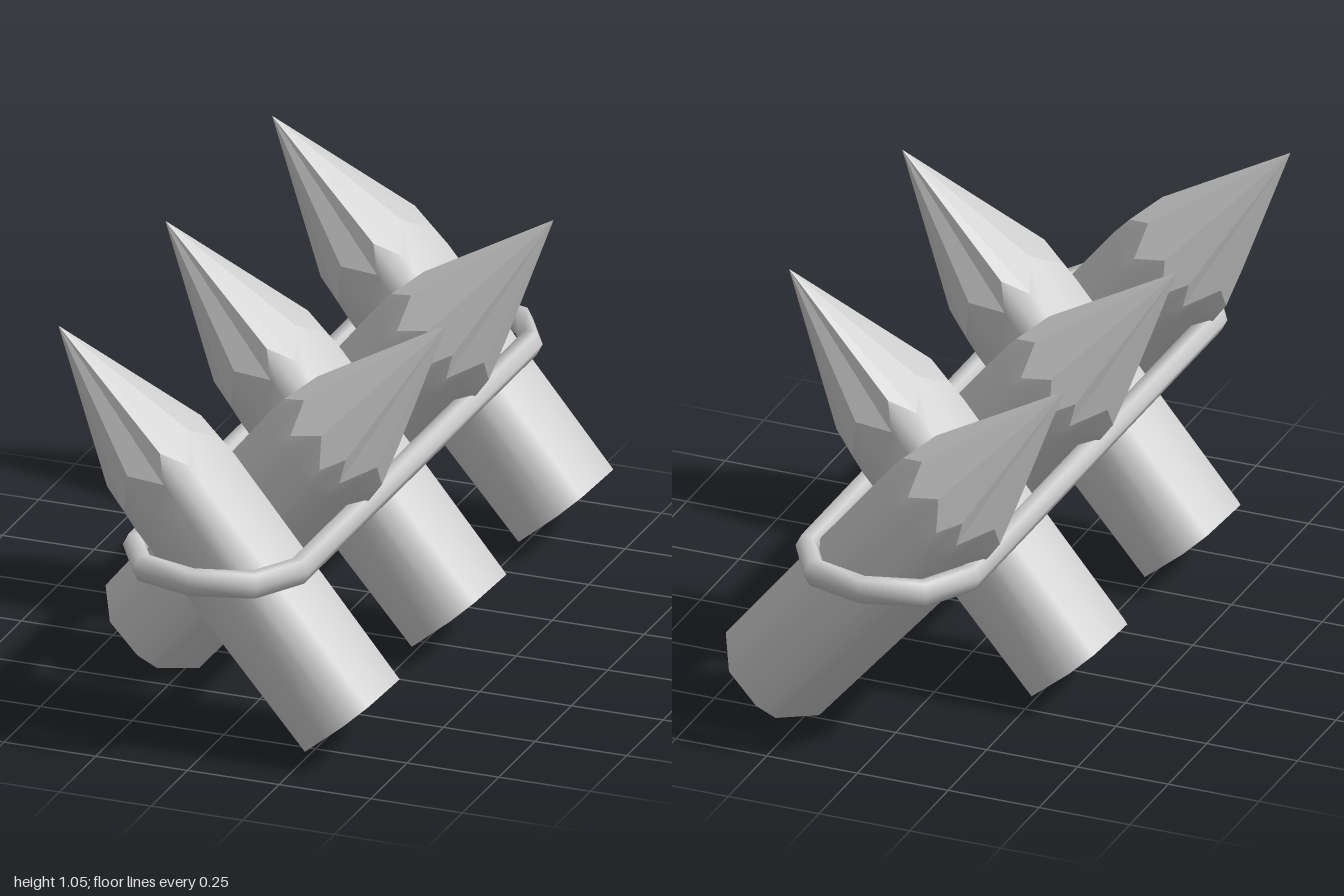
import * as THREE from 'three';

// Skin a list of equal-length point rings; optionally join last ring to first
function loft(rings, closed = false) {
  const n = rings[0].length, m = rings.length, index = [];
  for (let i = 0; i < (closed ? m : m - 1); i++) {
    for (let j = 0; j < n; j++) {
      const a = i * n + j, b = i * n + (j + 1) % n;
      const c = ((i + 1) % m) * n + j, d = ((i + 1) % m) * n + (j + 1) % n;
      index.push(a, c, b, b, c, d);
    }
  }
  const g = new THREE.BufferGeometry();
  g.setAttribute('position', new THREE.Float32BufferAttribute(rings.flat(2), 3));
  g.setIndex(index);
  g.computeVertexNormals();
  return g;
}

function flat(g) {
  const f = g.toNonIndexed();
  f.computeVertexNormals();
  return f;
}

// Slightly uneven eight-sided log section; each corner is followed by an edge midpoint
const cornerAngles = [-12, 41, 69, 123, 180, 238, 260, 301].map(THREE.MathUtils.degToRad);

function logRing(rx, rz, yCorner, yMid = yCorner) {
  const ring = [];
  cornerAngles.forEach((a, i) => {
    const b = cornerAngles[(i + 1) % 8];
    const x = Math.cos(a) * rx, z = Math.sin(a) * rz;
    ring.push([x, yCorner, z]);
    ring.push([(x + Math.cos(b) * rx) / 2, yMid, (z + Math.sin(b) * rz) / 2]);
  });
  return ring;
}

export function createModel() {
  const model = new THREE.Group();
  const smooth = new THREE.MeshStandardMaterial({ color: 0xcccccc });
  const faceted = new THREE.MeshStandardMaterial({ color: 0xcccccc, flatShading: true });

  // Log body, carved tip with a scalloped lower edge, and base cap
  const base = logRing(0.16, 0.174, 0);
  const shoulder = logRing(0.17, 0.174, 0.71);
  const carved = logRing(0.166, 0.169, 0.765, 0.835);
  const bodyGeo = loft([base, shoulder, carved]);
  const tipGeo = flat(loft([carved, logRing(0.0008, 0.0008, 1.235)]));
  const capGeo = flat(loft([logRing(0.0005, 0.0005, 0), base]));

  // Five stakes leaning alternately left and right
  for (let i = 0; i < 5; i++) {
    const stake = new THREE.Group();
    stake.name = 'stake' + (i + 1);
    const lean = new THREE.Group();
    lean.name = 'leaningLog';
    for (const [name, geo, mat] of [
      ['stakeBody', bodyGeo, smooth], ['stakeTip', tipGeo, faceted], ['stakeBase', capGeo, faceted],
    ]) {
      const mesh = new THREE.Mesh(geo, mat);
      mesh.name = name;
      lean.add(mesh);
    }
    lean.position.set(0.34, 0.105, 0);
    lean.rotation.z = 0.7;
    stake.add(lean);
    stake.position.z = 0.735 - i * 0.3675;
    if (i % 2) stake.rotation.y = Math.PI;
    model.add(stake);
  }

  // Six-sided rope looped around all the crossings
  const half = [[0.223, 0.8], [0.15, 0.925], [0, 0.968], [-0.15, 0.925], [-0.223, 0.8]];
  const path = [...half, ...half.map(([x, z]) => [-x, -z])];
  const ropeRings = path.map(([x, z], i) => {
    const p = path[(i + path.length - 1) % path.length], q = path[(i + 1) % path.length];
    const out = new THREE.Vector2(q[1] - p[1], p[0] - q[0]).normalize();
    return Array.from({ length: 6 }, (_, k) => {
      const a = k * Math.PI / 3, r = Math.cos(a) * 0.032;
      return [x + out.x * r, 0.507 - Math.sin(a) * 0.037, z + out.y * r];
    });
  });
  const rope = new THREE.Mesh(loft(ropeRings, true), smooth);
  rope.name = 'rope';
  model.add(rope);

  return model;
}
